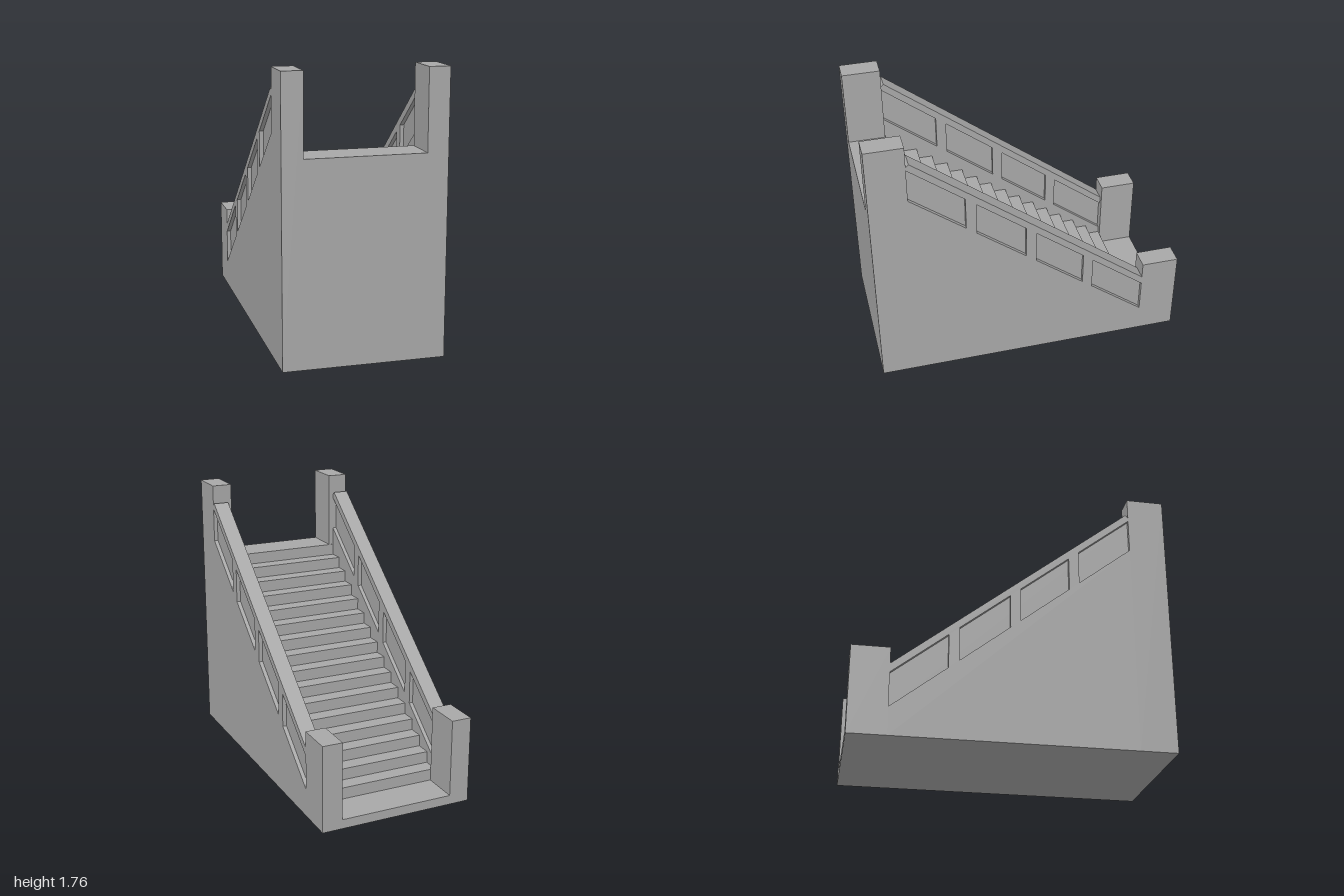
import * as THREE from 'three';

export function createModel() {
  const model = new THREE.Group();
  const stone = new THREE.MeshStandardMaterial({ color: 0xa8a8a8 });
  stone.name = 'grey stone';

  const END = 0.76;            // flight runs from z = -END to z = END
  const SLOPE = 1.2 / 1.52;
  const lineY = (z, base) => base + (z + END) * SLOPE;

  function add(name, geometry, x = 0, y = 0, z = 0) {
    const mesh = new THREE.Mesh(geometry, stone);
    mesh.name = name;
    mesh.position.set(x, y, z);
    model.add(mesh);
  }

  // block given by its extents
  function block(name, x0, x1, y0, y1, z0, z1) {
    add(name, new THREE.BoxGeometry(x1 - x0, y1 - y0, z1 - z0),
      (x0 + x1) / 2, (y0 + y1) / 2, (z0 + z1) / 2);
  }

  // side profile of [z, y] points, extruded across x about a centre
  function profile(name, points, width, x = 0) {
    const shape = new THREE.Shape(points.map(([z, y]) => new THREE.Vector2(z, y)));
    const geometry = new THREE.ExtrudeGeometry(shape, { depth: width, bevelEnabled: false });
    geometry.translate(0, 0, -width / 2);
    geometry.rotateY(-Math.PI / 2);
    add(name, geometry, x);
  }

  // sloped band between two parallel lines, with upright ends
  function band(name, z0, z1, low, high, width, x) {
    profile(name, [[z0, lineY(z0, low)], [z1, lineY(z1, low)],
      [z1, lineY(z1, high)], [z0, lineY(z0, high)]], width, x);
  }

  // stepped flight
  const RISERS = 16, rise = 1.2 / RISERS, run = 1.517 / (RISERS - 1);
  const steps = [[END, 0], [END, 1.26]];
  for (let i = RISERS - 1; i >= 0; i--) {
    const z = -END + i * run;
    steps.push([z, 0.06 + (i + 1) * rise], [z, 0.06 + i * rise]);
  }
  steps.push([-END, 0]);
  profile('steps', steps, 0.8);

  // landings at both ends
  block('upperLanding', -0.37, 0.37, 0, 1.26, END, 1);
  block('lowerLanding', -0.37, 0.37, 0, 0.06, -1, -END);

  for (const [side, s] of [['left', 1], ['right', -1]]) {
    const x = 0.45 * s;
    const [x0, x1] = s > 0 ? [0.37, 0.5] : [-0.5, -0.37];

    // end pillars
    block(side + 'UpperPillar', x0, x1, 0, 1.76, END, 1);
    block(side + 'LowerPillar', x0, x1, 0, 0.56, -1, -END);

    // wall below the panels
    profile(side + 'Wall', [[-END, 0], [END, 0], [END, lineY(END, 0.18)], [-END, 0.18]], 0.1, x);

    // recessed panel and the posts dividing it
    band(side + 'Panel', -END, END, 0.18, 0.4, 0.05, x);
    for (const z of [-0.378, 0.003, 0.383]) {
      band(side + 'Post', z - 0.033, z + 0.033, 0.18, 0.4, 0.1, x);
    }

    // sloped coping, cut square at its upper end
    profile(side + 'Coping', [[-END, 0.4], [0.772, lineY(0.772, 0.4)],
      [0.742, lineY(0.742, 0.456)], [-END, 0.456]], 0.1, x);
  }

  return model;
}
